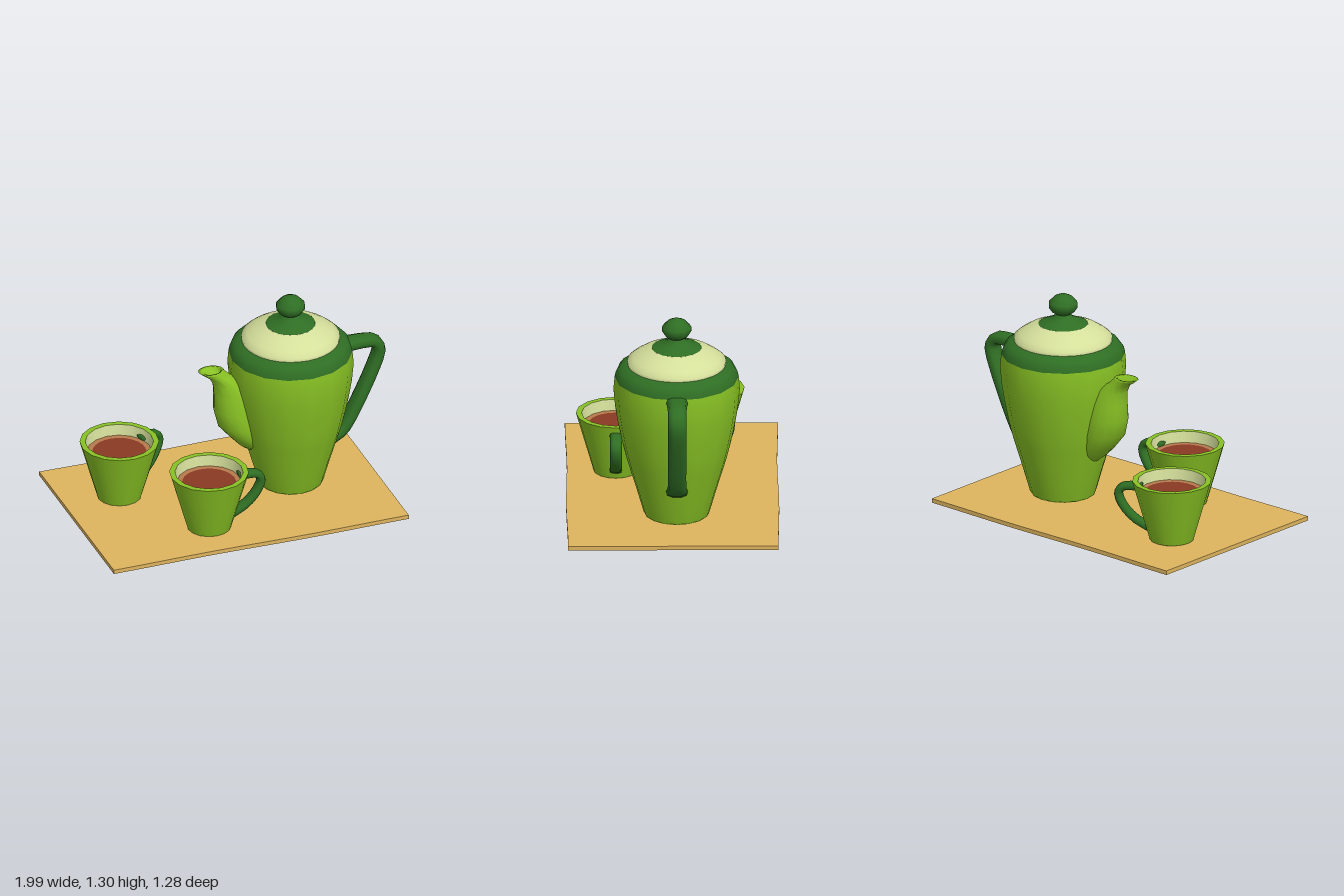
import * as THREE from 'three';

const mat = (name, color, side = THREE.FrontSide) => {
  const m = new THREE.MeshStandardMaterial({ color, side });
  m.name = name;
  return m;
};

// Skin a list of closed rings of points
function loft(rings) {
  const n = rings[0].length, pos = [], index = [];
  rings.forEach(r => r.forEach(p => pos.push(p.x, p.y, p.z)));
  for (let i = 0; i < rings.length - 1; i++) {
    for (let j = 0; j < n; j++) {
      const k = (j + 1) % n;
      const a = i * n + j, b = i * n + k, c = a + n, d = b + n;
      index.push(a, c, d, a, d, b);
    }
  }
  const g = new THREE.BufferGeometry();
  g.setAttribute('position', new THREE.Float32BufferAttribute(pos, 3));
  g.setIndex(index);
  g.computeVertexNormals();
  return g;
}

// Sweep an oval section along a curve in the xy plane; width flares at the ends
function handleGeometry(points, thick, width, flare, steps = 18, sides = 10) {
  const curve = new THREE.CatmullRomCurve3(points.map(([x, y]) => new THREE.Vector3(x, y, 0)));
  const rings = [];
  for (let i = 0; i <= steps; i++) {
    const u = i / steps, p = curve.getPoint(u), t = curve.getTangent(u);
    const w = width * (1 + flare * Math.pow(Math.abs(2 * u - 1), 6));
    const ring = [];
    for (let j = 0; j < sides; j++) {
      const a = (j + 0.5) / sides * Math.PI * 2;
      // slightly squared oval
      const c = Math.sign(Math.cos(a)) * Math.pow(Math.abs(Math.cos(a)), 0.75);
      const s = Math.sign(Math.sin(a)) * Math.pow(Math.abs(Math.sin(a)), 0.75);
      ring.push(new THREE.Vector3(p.x + t.y * c * thick, p.y - t.x * c * thick, s * w));
    }
    rings.push(ring);
  }
  const end = p => rings[0].map(() => new THREE.Vector3(p.x, p.y, 0));
  return loft([end(curve.getPoint(0)), ...rings, end(curve.getPoint(1))]);
}

const lathe = (pts, sides) =>
  new THREE.LatheGeometry(pts.map(([r, y]) => new THREE.Vector2(r, y)), sides);

export function createModel() {
  const model = new THREE.Group();
  model.name = 'teaSet';
  const green = mat('leafGreen', 0x88c224);
  const dark = mat('darkGreen', 0x2f6e24);
  const cream = mat('cream', 0xd5df9b);
  const tan = mat('wood', 0xdeb45e);
  const tea = mat('tea', 0x8a3a24);
  const teaEdge = mat('teaEdge', 0xb67a4c);

  const add = (parent, name, geometry, material) => {
    const m = new THREE.Mesh(geometry, material);
    m.name = name;
    parent.add(m);
    return m;
  };

  // Tray with faintly wavy long edges
  const trayGeo = new THREE.BoxGeometry(1.9, 0.026, 1.276, 16, 1, 6);
  const tp = trayGeo.attributes.position;
  for (let i = 0; i < tp.count; i++) {
    const x = tp.getX(i), z = tp.getZ(i);
    tp.setZ(i, z + 0.004 * Math.sin(x * 5) * z / 0.64);
  }
  trayGeo.computeVertexNormals();
  add(model, 'tray', trayGeo, tan).position.set(-0.045, 0.013, 0);

  // Teapot
  const pot = new THREE.Group();
  pot.name = 'teapot';
  pot.position.set(0.39, 0, -0.023);
  model.add(pot);

  add(pot, 'potBody', lathe([[0, 0.027], [0.19, 0.027], [0.2, 0.04], [0.24, 0.18], [0.3, 0.38],
    [0.325, 0.48], [0.35, 0.6], [0.37, 0.72], [0.381, 0.84], [0.374, 0.92]], 16), green);
  add(pot, 'potShoulder', lathe([[0.374, 0.92], [0.366, 0.955], [0.345, 0.982],
    [0.305, 1.005], [0.27, 1.005]], 16), dark);
  add(pot, 'lid', lathe([[0.296, 1.0], [0.298, 1.025], [0.265, 1.052], [0.215, 1.084],
    [0.15, 1.11]], 32), cream);
  add(pot, 'lidCrown', lathe([[0.15, 1.11], [0.1, 1.132], [0.06, 1.15], [0.046, 1.175]], 24), dark);
  add(pot, 'knob', lathe([[0.046, 1.172], [0.07, 1.188], [0.088, 1.215], [0.088, 1.245],
    [0.055, 1.28], [0.02, 1.296], [0, 1.298]], 12), dark);

  add(pot, 'potHandle', handleGeometry([[0.31, 0.895], [0.46, 0.897], [0.535, 0.885], [0.567, 0.83],
    [0.535, 0.72], [0.45, 0.53], [0.375, 0.385], [0.325, 0.315], [0.22, 0.26]], 0.038, 0.055, 0.3), dark);

  // Spout stations: height, outer x, inner x, half width; the last two form the hollow mouth
  const stations = [
    [0.29, -0.27, -0.1, 0.05], [0.34, -0.335, -0.15, 0.085], [0.4, -0.39, -0.18, 0.11],
    [0.49, -0.465, -0.2, 0.125], [0.6, -0.493, -0.22, 0.122], [0.7, -0.492, -0.25, 0.105],
    [0.78, -0.497, -0.31, 0.085], [0.83, -0.52, -0.385, 0.066], [0.868, -0.575, -0.425, 0.06],
    [0.882, -0.592, -0.433, 0.06], [0.879, -0.572, -0.448, 0.046], [0.835, -0.48, -0.44, 0.015],
    [0.83, -0.46, -0.46, 0]];
  add(pot, 'spout', loft(stations.map(([y, x0, x1, w]) => {
    const ring = [];
    for (let j = 0; j < 14; j++) {
      const a = j / 14 * Math.PI * 2;
      ring.push(new THREE.Vector3((x0 + x1) / 2 + Math.cos(a) * (x1 - x0) / 2, y, Math.sin(a) * w));
    }
    return ring;
  })), green);

  // Two matching cups
  const wall = lathe([[0, 0.027], [0.13, 0.027], [0.134, 0.03], [0.187, 0.216], [0.24, 0.403]], 16);
  const rim = lathe([[0.24, 0.403], [0.206, 0.403]], 16);
  const inside = lathe([[0.206, 0.403], [0.194, 0.33]], 16);
  const edge = lathe([[0.196, 0.335], [0.163, 0.333]], 24);
  const surface = lathe([[0.163, 0.333], [0, 0.333]], 24);
  const cupHandle = handleGeometry([[0.19, 0.34], [0.27, 0.342], [0.318, 0.325], [0.334, 0.285],
    [0.305, 0.215], [0.235, 0.14], [0.13, 0.085]], 0.025, 0.036, 0.1, 14);
  for (const [name, x, z, turn] of [['backCup', -0.645, -0.2, 0.445], ['frontCup', -0.27, 0.34, 0]]) {
    const cup = new THREE.Group();
    cup.name = name;
    cup.position.set(x, 0, z);
    cup.rotation.y = turn;
    add(cup, 'cupWall', wall, green);
    add(cup, 'cupRim', rim, green);
    add(cup, 'cupInside', inside, cream);
    add(cup, 'teaEdge', edge, teaEdge);
    add(cup, 'teaSurface', surface, tea);
    add(cup, 'cupHandle', cupHandle, dark);
    model.add(cup);
  }
  return model;
}
